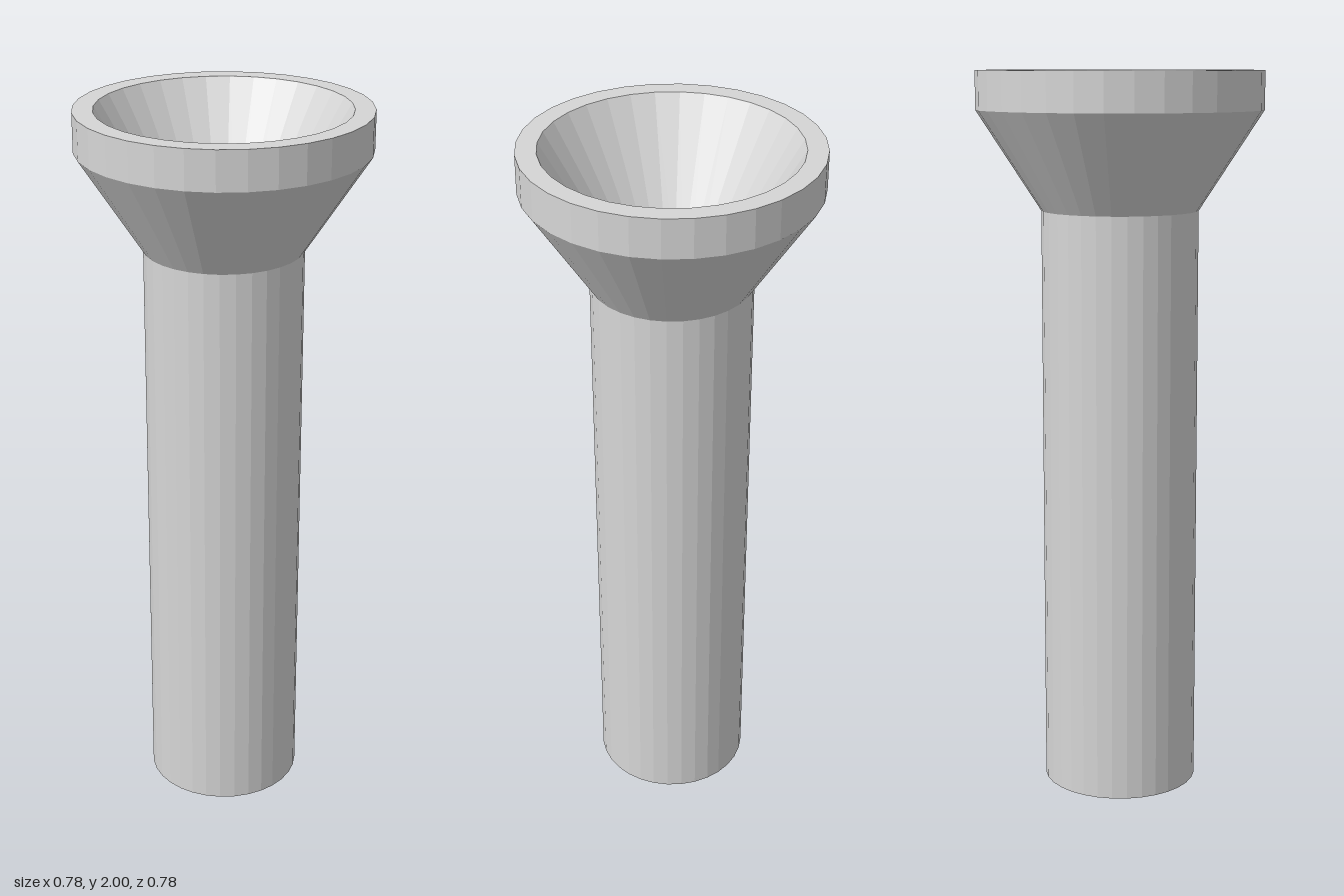
import * as THREE from 'three';

const SIDES = 32;

export function createModel() {
  const model = new THREE.Group();
  model.name = 'flaredPost';

  const grey = new THREE.MeshStandardMaterial({ color: 0xd6d6d6 });
  grey.name = 'light grey';

  // Turn a profile of [radius, height] points into a faceted surface
  const turned = (name, profile) => {
    const points = profile.map(([r, y]) => new THREE.Vector2(r, y));
    const geometry = new THREE.LatheGeometry(points, SIDES).toNonIndexed();
    geometry.computeVertexNormals();
    const mesh = new THREE.Mesh(geometry, grey);
    mesh.name = name;
    model.add(mesh);
  };

  // Straight shaft with a closed base
  turned('shaft', [[0, 0], [0.215, 0], [0.215, 1.625]]);

  // Flared head: outer cone, upright band and flat rim
  turned('head', [[0.215, 1.625], [0.39, 1.895], [0.39, 2], [0.336, 2]]);

  // Conical bowl sunk into the head, with a flat floor
  turned('bowl', [[0.336, 2], [0.118, 1.63], [0, 1.63]]);

  return model;
}
